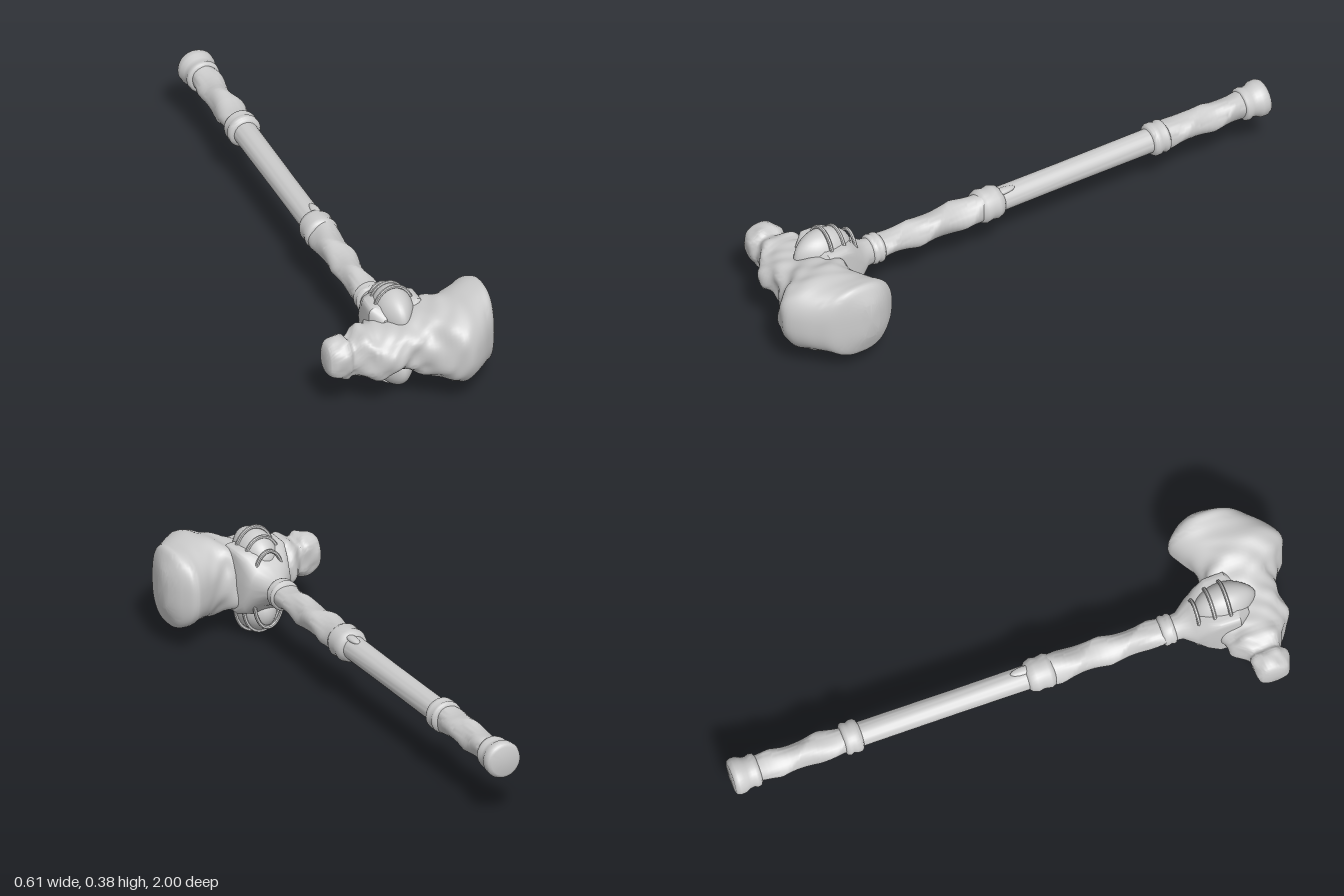
import * as THREE from 'three';
import { toCreasedNormals } from 'three/addons/utils/BufferGeometryUtils.js';

const CX = -0.028, CY = 0.212; // handle axis
const MID = 0.192;             // middle height of the domes and bands

// Skin closed rings of points, with a fan over each end
function loft(rings, crease) {
  const n = rings[0].length, pos = [], idx = [];
  rings.forEach(r => r.forEach(p => pos.push(...p)));
  for (let i = 0; i < rings.length - 1; i++) {
    for (let j = 0; j < n; j++) {
      const a = i * n + j, b = i * n + (j + 1) % n;
      idx.push(a, b, a + n, b, b + n, a + n);
    }
  }
  [0, rings.length - 1].forEach((r, end) => {
    const c = [0, 1, 2].map(k => rings[r].reduce((s, p) => s + p[k], 0) / n);
    const ci = pos.length / 3;
    pos.push(...c);
    for (let j = 0; j < n; j++) {
      const a = r * n + j, b = r * n + (j + 1) % n;
      if (end) idx.push(ci, a, b); else idx.push(ci, b, a);
    }
  });
  const g = new THREE.BufferGeometry();
  g.setAttribute('position', new THREE.Float32BufferAttribute(pos, 3));
  g.setIndex(idx);
  return toCreasedNormals(g, crease);
}

// Rounded-square curve: p = 2 is a circle, larger is boxier
function squircle(a, p) {
  const f = v => Math.sign(v) * Math.pow(Math.abs(v), 2 / p);
  return [f(Math.cos(a)), f(Math.sin(a))];
}

// Round handle piece from [z, radius] pairs, with optional spiral wrapping
function turned(profile, wrap = 0, steps = 1) {
  const n = 32, rings = [];
  const ring = (z, r) => {
    const out = [];
    for (let j = 0; j < n; j++) {
      const a = j / n * Math.PI * 2;
      const ridge = 1 - 2 * Math.abs(Math.sin(a + z * 19));
      const q = r + wrap * (ridge + 0.6 * Math.sin(3 * a - z * 27 + 1));
      out.push([CX + Math.cos(a) * q, CY + Math.sin(a) * q, z]);
    }
    rings.push(out);
  };
  for (let i = 0; i < profile.length - 1; i++) {
    const [z0, r0] = profile[i], [z1, r1] = profile[i + 1];
    for (let s = 0; s < steps; s++) {
      const t = s / steps;
      ring(z0 + (z1 - z0) * t, r0 + (r1 - r0) * t);
    }
  }
  ring(...profile[profile.length - 1]);
  return loft(rings, 0.9);
}

// Rough stone head, skinned along x
function headGeometry() {
  // x, y low, y high, z back, z front
  const S = [
    [-0.305, 0.165, 0.24, 0.78, 0.85], [-0.292, 0.143, 0.266, 0.76, 0.87],
    [-0.24, 0.127, 0.28, 0.75, 0.88], [-0.215, 0.132, 0.264, 0.755, 0.868],
    [-0.175, 0.117, 0.286, 0.71, 0.89], [-0.14, 0.11, 0.28, 0.70, 0.915],
    [-0.1, 0.12, 0.288, 0.67, 0.93], [-0.05, 0.128, 0.297, 0.65, 0.925],
    [0.0, 0.11, 0.303, 0.65, 0.93], [0.05, 0.085, 0.318, 0.665, 0.95],
    [0.1, 0.07, 0.337, 0.69, 0.985], [0.15, 0.068, 0.343, 0.68, 0.998],
    [0.2, 0.078, 0.337, 0.65, 0.967], [0.24, 0.075, 0.341, 0.632, 0.925],
    [0.272, 0.074, 0.343, 0.66, 0.885], [0.292, 0.115, 0.31, 0.69, 0.83],
    [0.304, 0.15, 0.28, 0.72, 0.785]
  ];
  const n = 64, rings = [], sub = 4;
  const cat = (a, b, c, d, t) =>
    b + 0.5 * t * (c - a + t * (2 * a - 5 * b + 4 * c - d + t * (3 * (b - c) + d - a)));
  for (let i = 0; i < S.length - 1; i++) {
    for (let s = 0; s < sub + (i === S.length - 2 ? 1 : 0); s++) {
      const A = S[Math.max(i - 1, 0)], D = S[Math.min(i + 2, S.length - 1)];
      const [x, y0, y1, z0, z1] = S[i].map((v, k) => cat(A[k], v, S[i + 1][k], D[k], s / sub));
      // Lumps fade out toward the smooth striking face
      const amp = 0.035 * Math.min(1, Math.max(0, (0.18 - x) / 0.1)) * Math.min(1, (x + 0.32) / 0.05);
      const ring = [];
      for (let j = 0; j < n; j++) {
        const a = j / n * Math.PI * 2, [u, v] = squircle(a, 2.5);
        const k = 1 - amp * 0.4 + amp * (Math.sin(3 * a + x * 34) + Math.sin(5 * a - x * 47 + 2)
          + 0.5 * Math.sin(8 * a + x * 85));
        ring.push([x, (y0 + y1) / 2 + u * k * (y1 - y0) / 2, (z0 + z1) / 2 + v * k * (z1 - z0) / 2]);
      }
      rings.push(ring);
    }
  }
  return loft(rings, 0.75);
}

// Faceted socket between the handle and the head: z, half width, half height, boxiness
function socketGeometry() {
  const rows = [[0.54, 0.042, 0.045, 2], [0.575, 0.046, 0.05, 2], [0.615, 0.075, 0.07, 2.6],
    [0.65, 0.085, 0.105, 5], [0.69, 0.094, 0.116, 12], [0.76, 0.096, 0.116, 12], [0.8, 0.07, 0.09, 5]];
  return loft(rows.map(([z, w, h, p]) => {
    const ring = [];
    for (let j = 0; j < 32; j++) {
      const [u, v] = squircle(j / 32 * Math.PI * 2, p);
      ring.push([CX + u * w, CY - 0.002 + v * h, z]);
    }
    return ring;
  }), 0.6);
}

// Closed band outline: straight sides with an elliptical arch at each end
function archedLoop(path, rx, ry, arch) {
  const c = ry - arch;
  path.moveTo(rx, -c);
  path.lineTo(rx, c);
  path.absellipse(0, c, rx, arch, 0, Math.PI);
  path.lineTo(-rx, -c);
  path.absellipse(0, -c, rx, arch, Math.PI, Math.PI * 2);
  return path;
}

// Flat band standing across the head
function bandGeometry(rx, ry) {
  const s = archedLoop(new THREE.Shape(), rx, ry, 0.095);
  s.holes.push(archedLoop(new THREE.Path(), rx - 0.012, ry - 0.012, 0.085));
  const g = new THREE.ExtrudeGeometry(s, {
    depth: 0.006, bevelEnabled: true, bevelSize: 0.003, bevelThickness: 0.003,
    bevelOffset: -0.003, bevelSegments: 1, curveSegments: 24
  });
  return g.translate(0, 0, -0.003);
}

// Oval dome drawn to a point at the front
function domeGeometry() {
  const g = new THREE.SphereGeometry(1, 32, 24), p = g.attributes.position;
  for (let i = 0; i < p.count; i++) {
    const front = Math.max(0, p.getZ(i));
    p.setX(i, p.getX(i) * (1 - 0.35 * front * front));
  }
  g.scale(0.067, 0.083, 0.107);
  g.computeVertexNormals();
  return g;
}

export function createModel() {
  const model = new THREE.Group();
  model.name = 'warHammer';
  const stone = new THREE.MeshStandardMaterial({ color: 0xcccccc });
  stone.name = 'grey stone';
  const add = (name, geometry) => {
    const m = new THREE.Mesh(geometry, stone);
    m.name = name;
    model.add(m);
    return m;
  };

  // Handle
  add('pommel', turned([[-1, 0.05], [-0.996, 0.059], [-0.985, 0.064], [-0.965, 0.063], [-0.95, 0.055],
    [-0.935, 0.053], [-0.922, 0.058], [-0.91, 0.056], [-0.905, 0.048]]));
  add('rearGrip', turned([[-0.91, 0.048], [-0.8, 0.046], [-0.7, 0.05], [-0.59, 0.045]], 0.004, 14));
  add('rearRing', turned([[-0.61, 0.045], [-0.604, 0.055], [-0.595, 0.057], [-0.583, 0.052],
    [-0.572, 0.057], [-0.558, 0.057], [-0.55, 0.052], [-0.545, 0.04]]));
  add('shaft', turned([[-0.56, 0.042], [-0.2, 0.041], [0.06, 0.042]]));
  add('frontCollar', turned([[0.035, 0.04], [0.045, 0.052], [0.065, 0.059], [0.085, 0.055],
    [0.11, 0.06], [0.125, 0.054], [0.13, 0.045]]));
  add('frontGrip', turned([[0.12, 0.052], [0.25, 0.05], [0.4, 0.046], [0.53, 0.044]], 0.004, 20));
  add('frontRing', turned([[0.508, 0.044], [0.515, 0.052], [0.523, 0.053], [0.532, 0.049],
    [0.541, 0.053], [0.549, 0.051], [0.555, 0.042]]));

  // Tongue running from the collar onto the shaft
  const tongue = add('collarTongue', new THREE.SphereGeometry(1, 16, 10));
  tongue.scale.set(0.016, 0.01, 0.045);
  tongue.position.set(CX + 0.012, CY + 0.039, 0.03);

  // Head
  add('socket', socketGeometry());
  add('stoneHead', headGeometry());

  // Broken lump under the striking end
  const lump = add('lowerLump', toCreasedNormals(new THREE.IcosahedronGeometry(1, 1), 0.4));
  lump.scale.set(0.058, 0.042, 0.08);
  lump.position.set(0.145, 0.088, 0.84);

  // Domes above and below the socket
  const dome = domeGeometry();
  [['topDome', 1], ['bottomDome', -1]].forEach(([name, side]) => {
    add(name, dome).position.set(CX, MID + side * 0.095, 0.735);
  });

  // Bands around the domes
  [[0.735, 0.074, 0.191], [0.682, 0.071, 0.175], [0.63, 0.058, 0.143]].forEach(([z, rx, ry], i) => {
    add('band' + (i + 1), bandGeometry(rx, ry)).position.set(CX, MID, z);
  });

  return model;
}
